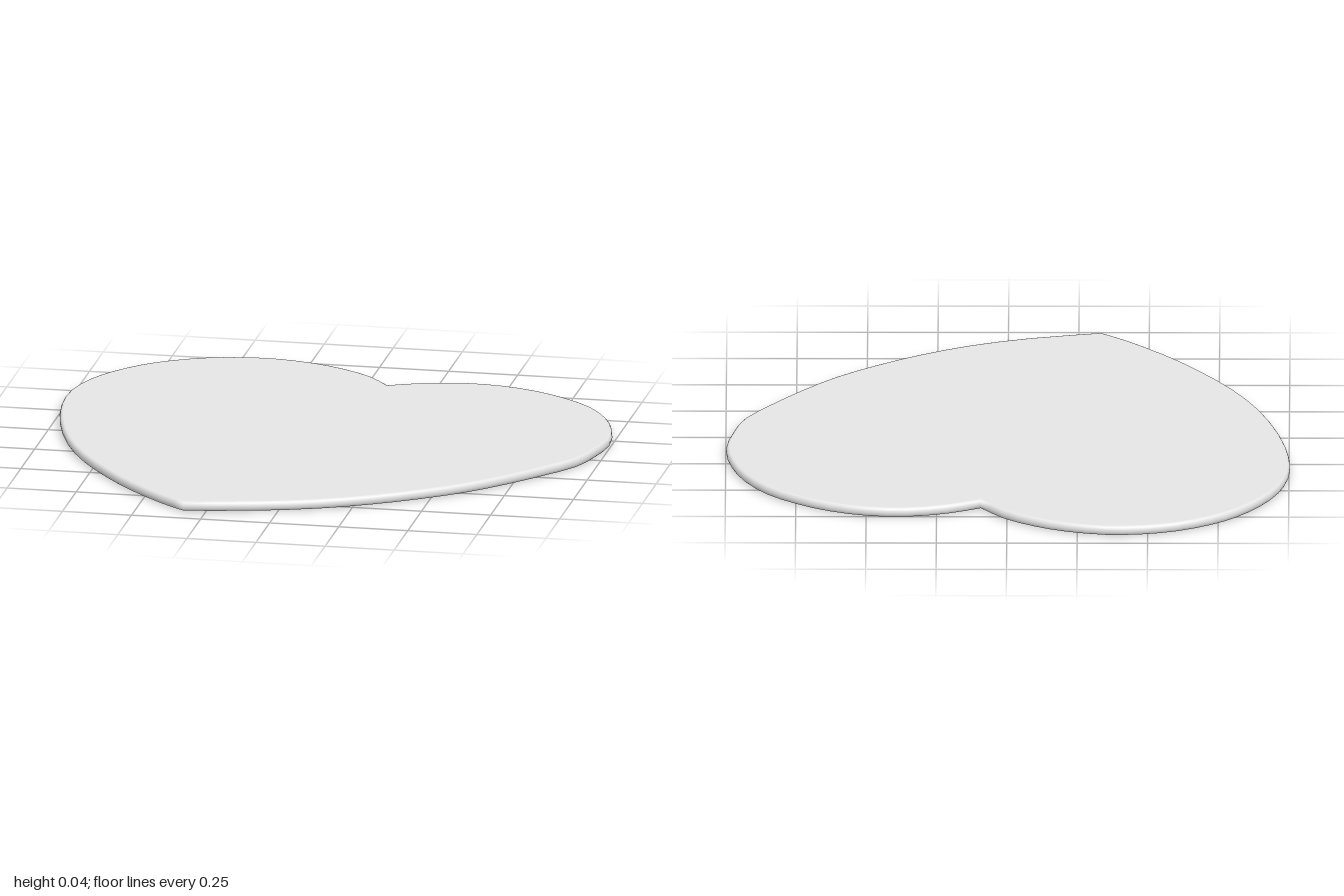
import * as THREE from 'three';

const HALF = 0.0175; // half the plate thickness
const INSET = 0.012; // how far the rounded rim curves in at the faces

// Heart outline as x, z pairs, from the tip round the large lobe to the notch
const LARGE_SIDE = [
  -0.33, 0.92, -0.425, 0.845, -0.56, 0.71, -0.675, 0.57, -0.8, 0.385, -0.895, 0.19,
  -0.965, -0.035, -1, -0.24, -1, -0.4, -0.965, -0.54, -0.905, -0.655, -0.82, -0.76,
  -0.725, -0.835, -0.605, -0.895, -0.48, -0.925, -0.35, -0.93, -0.21, -0.9, -0.095, -0.85,
  0.015, -0.775, 0.095, -0.68,
];
// From the notch round the small lobe back to the tip
const SMALL_SIDE = [
  0.095, -0.68, 0.21, -0.73, 0.355, -0.76, 0.495, -0.752, 0.63, -0.71,
  0.75, -0.64, 0.855, -0.55, 0.935, -0.43, 0.98, -0.305, 1, -0.165, 0.975, -0.02,
  0.935, 0.105, 0.84, 0.24, 0.73, 0.375, 0.61, 0.5, 0.47, 0.61, 0.315, 0.71,
  0.135, 0.8, -0.08, 0.87, -0.33, 0.92,
];

// Smooth curve through the pairs, without its last point
function sample(pairs) {
  const points = [];
  for (let i = 0; i < pairs.length; i += 2) points.push(new THREE.Vector2(pairs[i], pairs[i + 1]));
  return new THREE.SplineCurve(points).getPoints(38).slice(0, -1);
}
const heart = [...sample(LARGE_SIDE), ...sample(SMALL_SIDE)];

// Moves the outline inward by a distance, with mitred corners
function inset(points, distance) {
  const n = points.length;
  const normal = (a, b) => new THREE.Vector2(b.y - a.y, a.x - b.x).normalize();
  return points.map((p, i) => {
    const before = normal(points[(i + n - 1) % n], p);
    const after = normal(p, points[(i + 1) % n]);
    const miter = before.clone().add(after).divideScalar(1 + before.dot(after));
    return p.clone().addScaledVector(miter, -distance);
  });
}

// Rounded rim lofted from the bottom face to the top face
function rimGeometry() {
  const steps = 8, n = heart.length, positions = [], index = [];
  for (let i = 0; i <= steps; i++) {
    const angle = (i / steps - 0.5) * Math.PI;
    const y = HALF * (1 + Math.sin(angle));
    for (const p of inset(heart, INSET * (1 - Math.cos(angle)))) positions.push(p.x, y, p.y);
  }
  for (let i = 0; i < steps; i++) {
    for (let j = 0; j < n; j++) {
      const a = i * n + j, b = i * n + (j + 1) % n;
      index.push(a, a + n, b, b, a + n, b + n);
    }
  }
  const geometry = new THREE.BufferGeometry();
  geometry.setAttribute('position', new THREE.Float32BufferAttribute(positions, 3));
  geometry.setIndex(index);
  geometry.computeVertexNormals();
  return geometry;
}

export function createModel() {
  const group = new THREE.Group();
  const material = (name, color) => {
    const m = new THREE.MeshStandardMaterial({ color });
    m.name = name;
    return m;
  };
  const paleGrey = material('pale grey', 0xe5e5e5);
  const crimson = material('muted crimson', 0xaf4f6d);
  const rose = material('dusky rose', 0xbe818e);
  const mauve = material('grey mauve', 0x8b6d7d);

  const add = (name, geometry, mat) => {
    const mesh = new THREE.Mesh(geometry, mat);
    mesh.name = name;
    group.add(mesh);
  };

  const face = inset(heart, INSET);
  add('rim', rimGeometry(), paleGrey);

  // Flat top
  const top = new THREE.ShapeGeometry(new THREE.Shape(face.map((p) => new THREE.Vector2(p.x, -p.y))));
  add('topFace', top.rotateX(-Math.PI / 2).translate(0, 2 * HALF, 0), paleGrey);

  // Nested heart bands on the underside
  const centre = new THREE.Vector2(-0.05, -0.13);
  const scaled = (s) => face.map((p) => p.clone().sub(centre).multiplyScalar(s).add(centre));
  const bands = [
    ['outerHeart', 1, 0.715, crimson],
    ['middleHeart', 0.715, 0.345, rose],
    ['innerHeart', 0.345, 0, mauve],
  ];
  for (const [name, outer, inner, mat] of bands) {
    const shape = new THREE.Shape(scaled(outer));
    if (inner) shape.holes.push(new THREE.Path(scaled(inner)));
    add(name, new THREE.ShapeGeometry(shape).rotateX(Math.PI / 2), mat);
  }
  return group;
}
